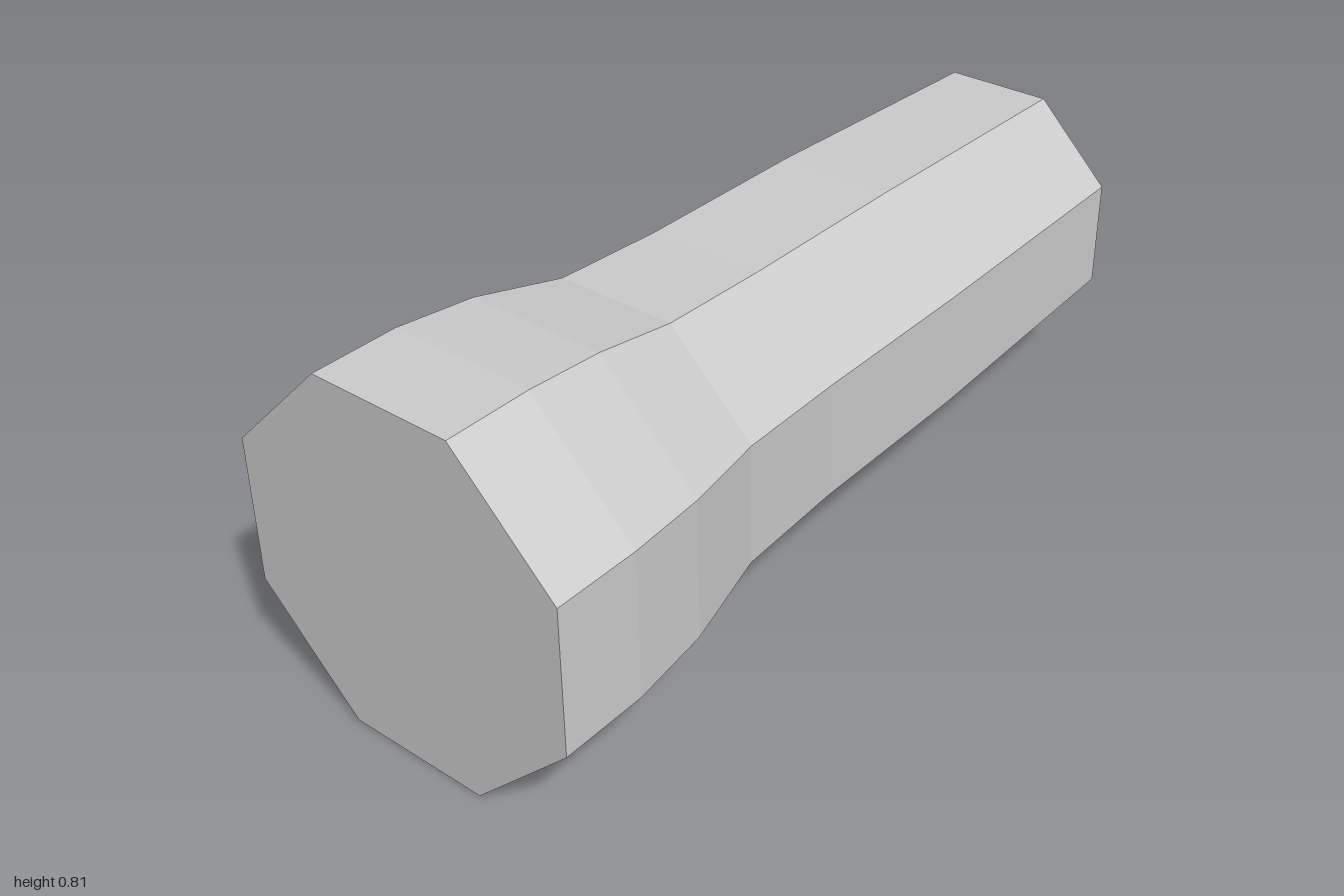
import * as THREE from 'three';

export function createModel() {
  const group = new THREE.Group();
  const grey = new THREE.MeshStandardMaterial({ color: 0xcccccc });
  grey.name = 'grey';

  // Profile along the axis: [position, distance from axis to flat side]
  const profile = [
    [-1, 0.405], [-0.8, 0.405], [-0.61, 0.386], [-0.39, 0.337],
    [-0.12, 0.326], [0.33, 0.324], [1, 0.304],
  ];
  const toCorner = 1 / Math.cos(Math.PI / 8);
  const points = profile.map(([x, a]) => new THREE.Vector2(a * toCorner, x));

  // Closed ends
  points.unshift(new THREE.Vector2(0, -1));
  points.push(new THREE.Vector2(0, 1));

  // Eight flat sides, laid along x
  const geometry = new THREE.LatheGeometry(points, 8, Math.PI / 8).toNonIndexed();
  geometry.computeVertexNormals();
  geometry.rotateZ(-Math.PI / 2);
  geometry.translate(0, 0.405, 0);

  const handle = new THREE.Mesh(geometry, grey);
  handle.name = 'octagonalHandle';
  group.add(handle);
  return group;
}
